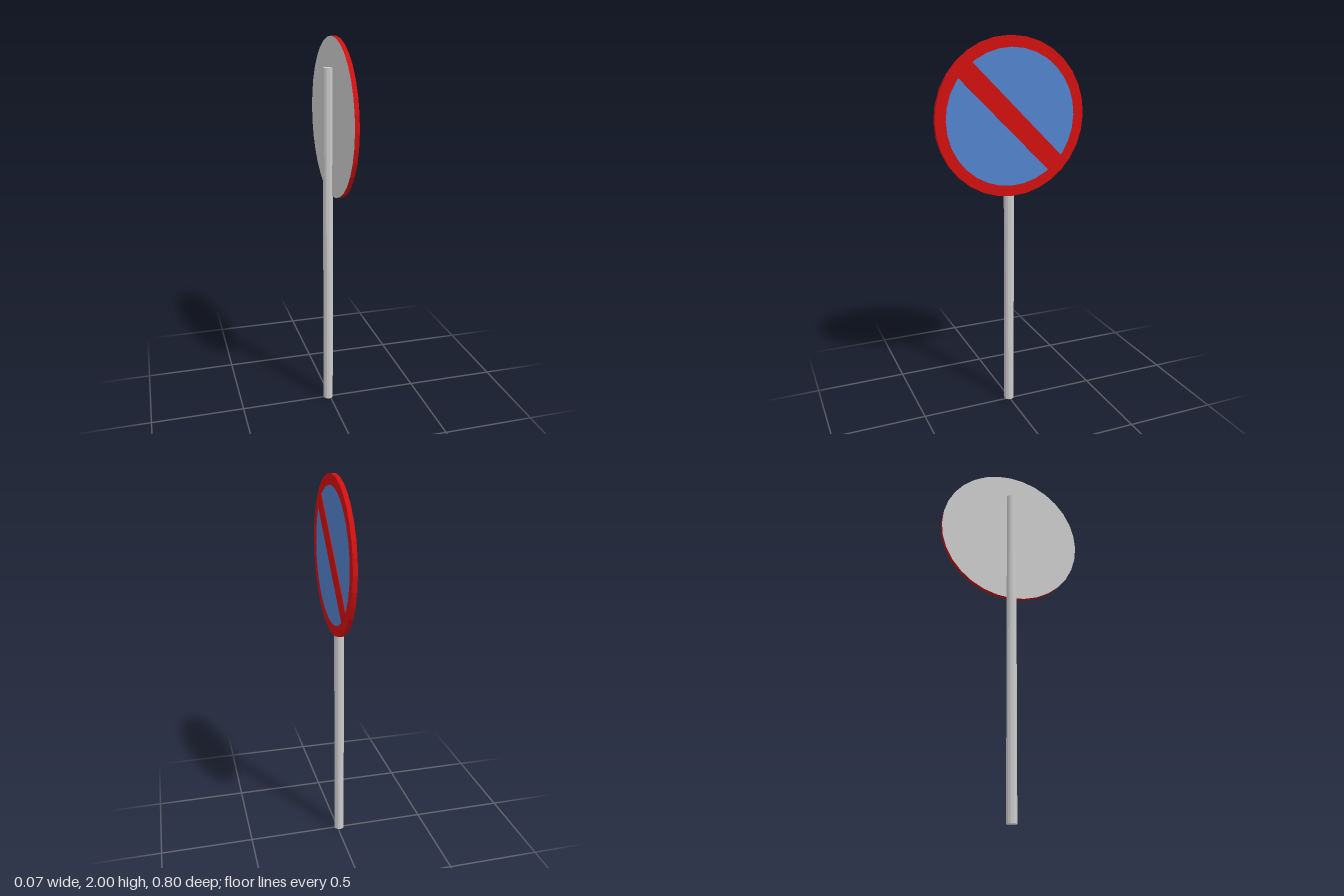
import * as THREE from 'three';

const SIDES = 32, RADIUS = 0.4, INNER = 0.345, CENTRE_Y = 1.6;
const BACK_X = 0.007, FRONT_X = 0.03;

const material = (color) => new THREE.MeshStandardMaterial({ color, flatShading: true });

export function createModel() {
  const model = new THREE.Group();
  const grey = material(0xcccccc), red = material(0xd01010), blue = material(0x5282cc);

  const add = (parent, name, geometry, mat, x = 0, y = 0) => {
    const mesh = new THREE.Mesh(geometry, mat);
    mesh.name = name;
    mesh.position.set(x, y, 0);
    parent.add(mesh);
  };

  // Round post, standing just behind the plate
  const postHeight = 1.85;
  add(model, 'post', new THREE.CylinderGeometry(0.027, 0.027, postHeight, 12), grey, -0.01, postHeight / 2);

  // Round plate facing +x
  const plate = new THREE.Group();
  plate.name = 'signPlate';
  plate.position.y = CENTRE_Y;
  model.add(plate);

  const thickness = FRONT_X - BACK_X;
  add(plate, 'plateRim',
    new THREE.CylinderGeometry(RADIUS, RADIUS, thickness, SIDES, 1, true).rotateZ(-Math.PI / 2),
    red, (FRONT_X + BACK_X) / 2);
  add(plate, 'plateBack', new THREE.CircleGeometry(RADIUS, SIDES).rotateY(-Math.PI / 2), grey, BACK_X);
  add(plate, 'redBorder', new THREE.RingGeometry(INNER, RADIUS, SIDES).rotateY(Math.PI / 2), red, FRONT_X);
  add(plate, 'blueFace', new THREE.CircleGeometry(INNER, SIDES).rotateY(Math.PI / 2), blue, FRONT_X);

  // Slightly raised diagonal bar, from upper left to lower right of the face
  const bar = new THREE.BoxGeometry(0.69, 0.102, 0.004).rotateZ(-Math.PI / 4).rotateY(Math.PI / 2);
  add(plate, 'diagonalBar', bar, red, FRONT_X + 0.001);

  return model;
}
